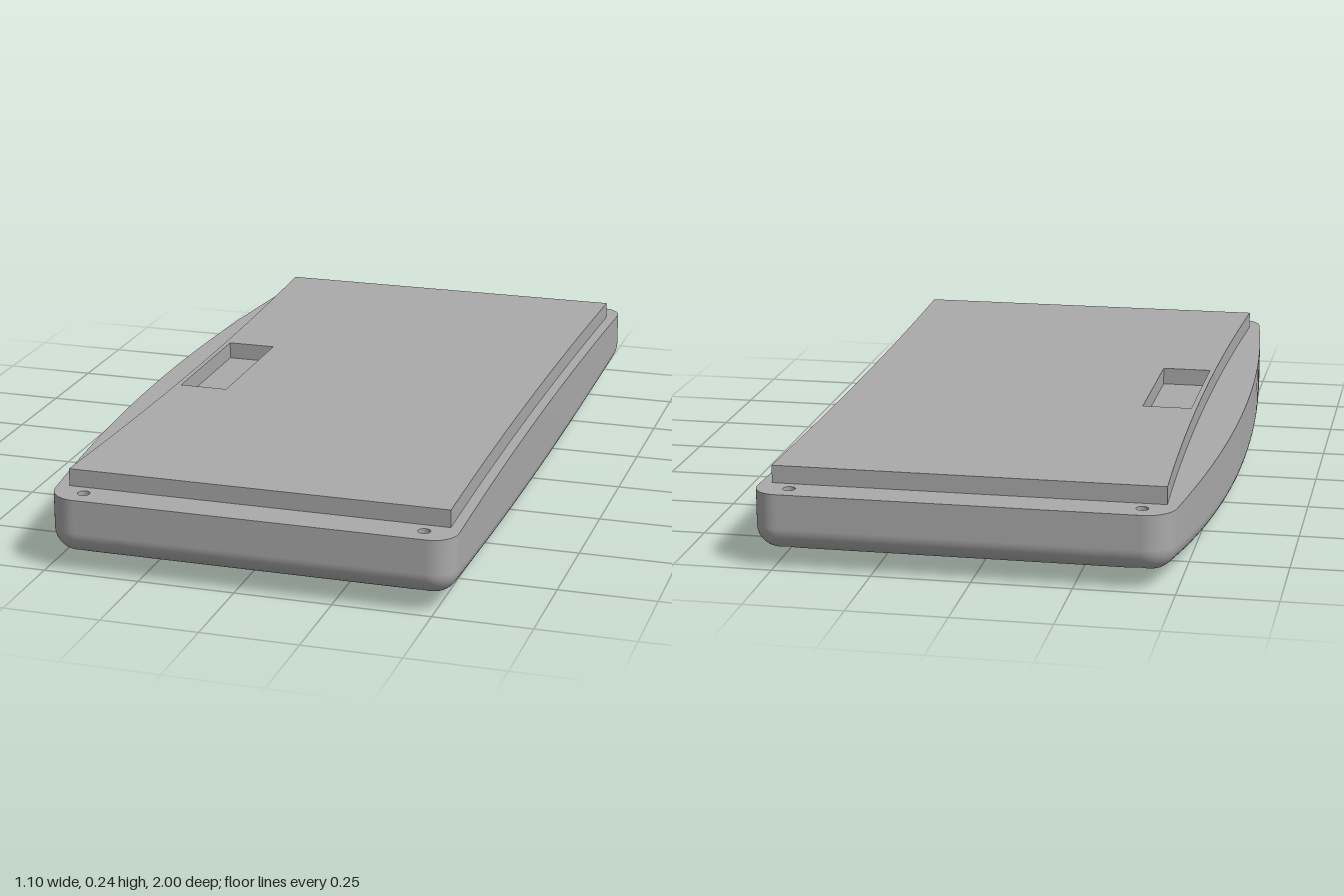
import * as THREE from 'three';

const TOP = 0.195, CORNER = 0.065, FILLET = 0.057, BORE = 0.016, RECESS = 0.025;
const HOLES = [[-0.41, 0.945], [0.465, 0.945], [-0.41, -0.945], [0.465, -0.945]];

// plan outline: left edge bulges, right edge is slightly hollow
const leftEdge = z => -0.553 + 0.07 * z * z;
const rightEdge = z => 0.535 + 0.016 * z * z;
const cornerInset = z => {
  const k = Math.max(0, CORNER - (1 - Math.abs(z)));
  return CORNER - Math.sqrt(Math.max(0, CORNER * CORNER - k * k));
};

// distance inward from the rounded outline
function inset(x, z) {
  const qx = Math.min(x - leftEdge(z), rightEdge(z) - x), qz = 1 - Math.abs(z);
  if (qx < CORNER && qz < CORNER) return CORNER - Math.hypot(CORNER - qx, CORNER - qz);
  return Math.min(qx, qz);
}

// bowed underside with a rounded rim
function underside(x, z) {
  const k = Math.min(FILLET, Math.max(0, FILLET - inset(x, z)));
  return 0.05 * z * z + FILLET - Math.sqrt(FILLET * FILLET - k * k);
}

// fine spacing near the edges, where the rim and the holes are
const edgeSteps = [];
for (let i = 0; i <= 16; i++) edgeSteps.push(CORNER * (1 - Math.cos(i / 16 * Math.PI / 2)));
for (let d = CORNER + 0.006; d < 0.125; d += 0.006) edgeSteps.push(d);

function spread(from, to, middle) {
  const last = edgeSteps[edgeSteps.length - 1], a = from + last, b = to - last;
  const out = edgeSteps.map(d => from + d);
  for (let i = 1; i < middle; i++) out.push(a + (b - a) * i / middle);
  return out.concat(edgeSteps.map(d => to - d).reverse());
}

// grid over the outline with round holes; optionally with side walls up to TOP
function sheet(height, holeRadius, faceUp, walls) {
  const pos = [], index = [], cut = [];
  const rows = spread(-1, 1, 30);
  let nx = 0;
  for (const z0 of rows) {
    const c = cornerInset(z0);
    const xs = spread(leftEdge(z0) + c, rightEdge(z0) - c, 8);
    nx = xs.length;
    for (const x0 of xs) {
      let x = x0, z = z0, inHole = false;
      for (const [hx, hz] of HOLES) {
        const d = Math.hypot(x - hx, z - hz);
        if (d < holeRadius) {
          const s = holeRadius / Math.max(d, 1e-5);
          x = hx + (x - hx) * s;
          z = hz + (z - hz) * s;
          inHole = true;
          break;
        }
      }
      cut.push(inHole);
      pos.push(x, height(x, z), z);
    }
  }
  const nz = rows.length;
  const tri = (a, b, c) => {
    if (cut[a] && cut[b] && cut[c]) return;
    if (faceUp) index.push(a, b, c);
    else index.push(a, c, b);
  };
  for (let j = 0; j < nz - 1; j++) {
    for (let i = 0; i < nx - 1; i++) {
      const a = j * nx + i, b = a + nx;
      tri(a, b, a + 1);
      tri(a + 1, b, b + 1);
    }
  }
  if (walls) {
    const rim = [];
    for (let i = 0; i < nx - 1; i++) rim.push(i);
    for (let j = 0; j < nz - 1; j++) rim.push(j * nx + nx - 1);
    for (let i = nx - 1; i > 0; i--) rim.push((nz - 1) * nx + i);
    for (let j = nz - 1; j > 0; j--) rim.push(j * nx);
    const first = pos.length / 3, n = rim.length;
    for (const r of rim) pos.push(pos[r * 3], TOP, pos[r * 3 + 2]);
    for (let k = 0; k < n; k++) {
      const m = (k + 1) % n;
      index.push(rim[k], first + k, rim[m], rim[m], first + k, first + m);
    }
  }
  const g = new THREE.BufferGeometry();
  g.setAttribute('position', new THREE.Float32BufferAttribute(pos, 3));
  g.setIndex(index);
  g.computeVertexNormals();
  return g;
}

// raised plate with hollow long sides and a rectangular window
function plateGeometry() {
  const s = new THREE.Shape();
  s.moveTo(-0.465, -0.905);
  s.lineTo(0.52, -0.905);
  s.quadraticCurveTo(0.496, 0, 0.52, 0.905);
  s.lineTo(-0.465, 0.905);
  s.quadraticCurveTo(-0.421, 0, -0.465, -0.905);
  const w = new THREE.Path();
  w.moveTo(-0.43, -0.2);
  w.lineTo(-0.43, 0.2);
  w.lineTo(-0.3, 0.2);
  w.lineTo(-0.3, -0.2);
  w.closePath();
  s.holes.push(w);
  const g = new THREE.ExtrudeGeometry(s, { depth: 0.045, bevelEnabled: false, curveSegments: 24 });
  g.rotateX(-Math.PI / 2);
  g.translate(0, TOP, 0);
  return g;
}

export function createModel() {
  const grey = new THREE.MeshStandardMaterial({ color: 0xaaaaaa });
  grey.name = 'grey';
  const boreGrey = new THREE.MeshStandardMaterial({ color: 0xaaaaaa, side: THREE.DoubleSide });
  boreGrey.name = 'bore grey';
  const paleGrey = new THREE.MeshStandardMaterial({ color: 0xe2e2e2, side: THREE.DoubleSide });
  paleGrey.name = 'pale grey';

  const model = new THREE.Group();
  model.name = 'shallowCase';
  const add = (name, geometry, material) => {
    const mesh = new THREE.Mesh(geometry, material);
    mesh.name = name;
    model.add(mesh);
    return mesh;
  };

  add('caseShell', sheet(underside, RECESS, false, true), grey);
  add('caseTop', sheet(() => TOP, BORE, true, false), grey);
  add('raisedPlate', plateGeometry(), grey);

  // screw holes: narrow bore above, wider recess below
  const stepY = 0.1;
  for (const [hx, hz] of HOLES) {
    const bore = new THREE.CylinderGeometry(BORE, BORE, TOP - stepY, 24, 1, true);
    bore.translate(hx, (TOP + stepY) / 2, hz);
    add('screwBore', bore, boreGrey);

    const recess = new THREE.CylinderGeometry(RECESS, RECESS, 0.05, 24, 1, true);
    recess.translate(hx, stepY - 0.025, hz);
    const p = recess.attributes.position;
    for (let i = 0; i < p.count; i++) {
      if (p.getY(i) < stepY - 0.01) p.setY(i, underside(p.getX(i), p.getZ(i)));
    }
    add('screwRecess', recess, paleGrey);

    const seat = new THREE.RingGeometry(BORE, RECESS, 24);
    seat.rotateX(Math.PI / 2);
    seat.translate(hx, stepY, hz);
    add('screwSeat', seat, paleGrey);
  }
  return model;
}
